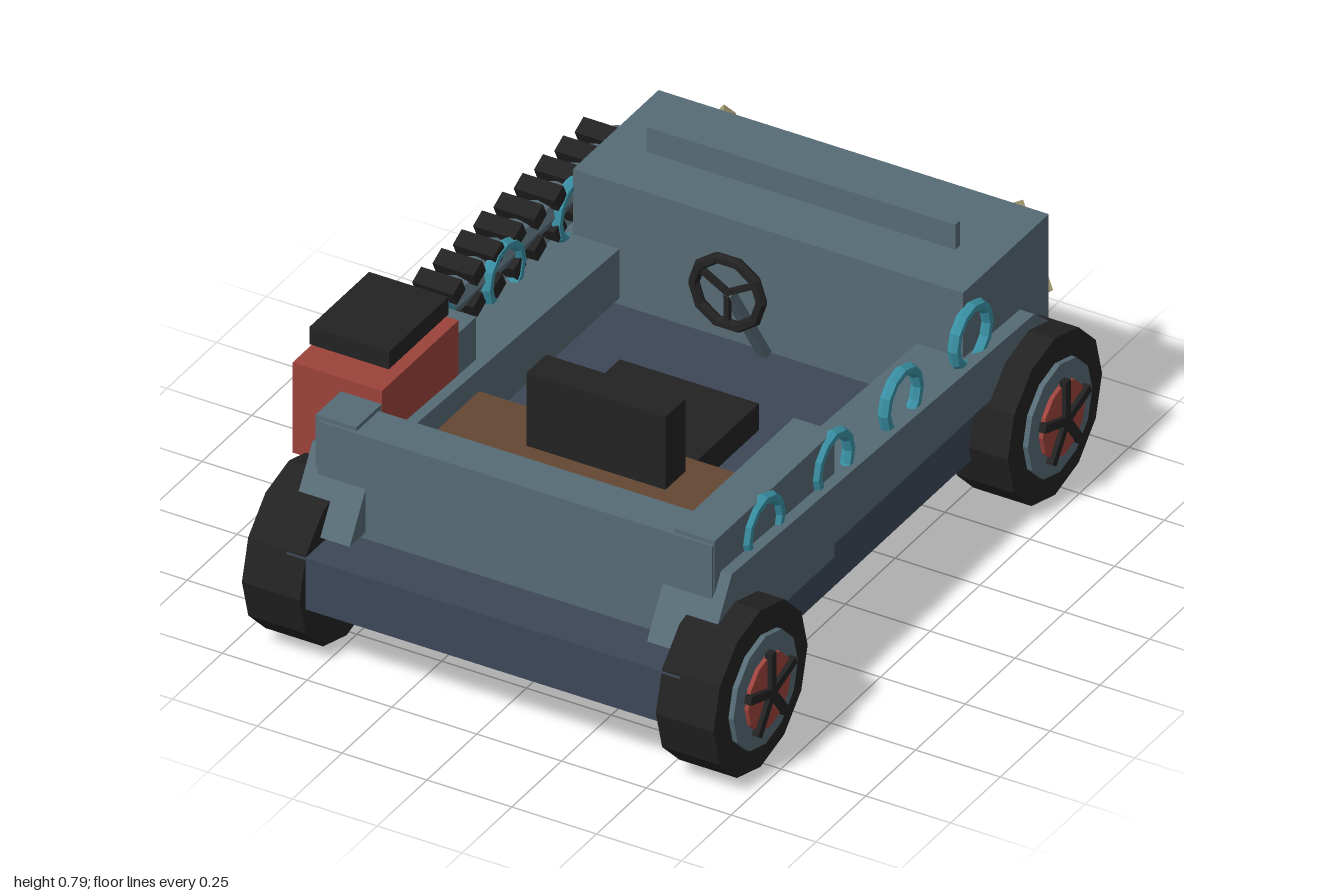
import * as THREE from 'three';

const paint = (name, color) => {
  const m = new THREE.MeshStandardMaterial({ color, flatShading: true });
  m.name = name;
  return m;
};

export function createModel() {
  const slate = paint('slate', 0x566b75);
  const navy = paint('navy', 0x3c4757);
  const black = paint('black', 0x222222);
  const red = paint('red', 0x9c423b);
  const brown = paint('brown', 0x634732);
  const teal = paint('teal', 0x3a92a6);
  const beige = paint('beige', 0xa0966f);

  const model = new THREE.Group();
  const add = (name, geo, mat, parent = model) => {
    const mesh = new THREE.Mesh(geo, mat);
    mesh.name = name;
    parent.add(mesh);
    return mesh;
  };
  // box from its two opposite corners
  const block = (name, mat, x0, x1, y0, y1, z0, z1, parent = model) => {
    const mesh = add(name, new THREE.BoxGeometry(x1 - x0, y1 - y0, z1 - z0), mat, parent);
    mesh.position.set((x0 + x1) / 2, (y0 + y1) / 2, (z0 + z1) / 2);
    return mesh;
  };
  // bar laid between two points
  const bar = (name, mat, a, b, w, d) => {
    const p = new THREE.Vector3(...a), q = new THREE.Vector3(...b);
    const mesh = add(name, new THREE.BoxGeometry(w, d, p.distanceTo(q)), mat);
    mesh.position.copy(p).lerp(q, 0.5);
    mesh.lookAt(q);
    return mesh;
  };
  // cylinder with its axis along x
  const disc = (name, mat, r, x0, x1, parent, sides = 12) => {
    const geo = new THREE.CylinderGeometry(r, r, x1 - x0, sides).rotateZ(-Math.PI / 2);
    const mesh = add(name, geo, mat, parent);
    mesh.position.x = (x0 + x1) / 2;
    return mesh;
  };

  // chassis and body panels
  block('chassis', navy, -0.575, 0.585, 0.195, 0.35, -0.885, 0.975);
  block('endPanel', slate, -0.575, 0.588, 0.35, 0.66, 0.7, 0.82);
  block('cowl', slate, -0.57, 0.58, 0.35, 0.715, -0.885, -0.455);
  block('screenStrip', slate, -0.45, 0.46, 0.71, 0.79, -0.645, -0.62);
  block('rearFloor', brown, -0.445, 0.45, 0.36, 0.48, 0.25, 0.705);

  for (const s of [-1, 1]) {
    // tapered side wall that doubles as the wheel fender
    const outline = new THREE.Shape([
      [0.9, 0.37], [0.78, 0.565], [-0.74, 0.507], [-0.87, 0.4], [-0.87, 0.37],
    ].map(([z, y]) => new THREE.Vector2(-z, y)));
    const wall = new THREE.ExtrudeGeometry(outline, { depth: 0.18, bevelEnabled: false });
    wall.translate(0, 0, -0.09).rotateY(Math.PI / 2);
    const p = wall.attributes.position;
    for (let i = 0; i < p.count; i++) p.setX(p.getX(i) * (1 - (p.getY(i) - 0.37) * 1.1));
    wall.translate(s * 0.528 + 0.005, 0, 0);
    add('sideWall', wall, slate);

    const mid = s * 0.528 + 0.003;
    block('sideLocker', slate, mid - 0.06, mid + 0.06, 0.29, 0.672, 0.21, 0.812);

    // hoops along the wall
    for (const z of [0.57, 0.22, -0.125, -0.475]) {
      const hoop = add('sideHoop', new THREE.TorusGeometry(0.083, 0.017, 6, 12), teal);
      hoop.rotation.y = Math.PI / 2;
      hoop.position.set(s * 0.586 + 0.004, 0.58, z);
    }

    // wheels
    for (const z of [0.767, -0.712]) {
      const wheel = new THREE.Group();
      wheel.name = 'wheel';
      wheel.position.set(0.005, 0.2375, z);
      wheel.rotation.y = s < 0 ? Math.PI : 0;
      model.add(wheel);
      disc('tyre', black, 0.2365, 0.525, 0.695, wheel);
      disc('rim', slate, 0.162, 0.69, 0.71, wheel);
      disc('hub', red, 0.107, 0.705, 0.722, wheel);
      for (let i = 0; i < 5; i++) {
        const spoke = new THREE.Group();
        spoke.name = 'spoke';
        spoke.rotation.x = i * Math.PI * 0.4;
        wheel.add(spoke);
        block('spokeBar', black, 0.715, 0.735, 0, 0.12, -0.012, 0.012, spoke);
      }
    }

    // angled lamp arms on the cowl
    bar('lampMount', beige, [s * 0.32, 0.58, -0.9], [s * 0.55, 0.54, -0.9], 0.03, 0.06);
    bar('lampArm', beige, [s * 0.55, 0.455, -0.9], [s * 0.415, 0.64, -0.98], 0.05, 0.04);
  }

  // grille
  block('grille', black, -0.27, 0.28, 0.38, 0.535, -0.915, -0.88);
  for (let i = -2; i <= 2; i++) {
    const x = i * 0.097 + 0.005;
    block('grilleBar', black, x - 0.012, x + 0.012, 0.39, 0.525, -0.932, -0.91);
  }

  // seat
  block('seatCushion', black, -0.2, 0.21, 0.4, 0.48, -0.06, 0.36);
  block('seatBack', black, -0.2, 0.21, 0.42, 0.7, 0.31, 0.41);
  block('seatPad', navy, -0.15, 0.16, 0.49, 0.665, 0.29, 0.312);

  // steering
  const steering = add('steeringWheel', new THREE.TorusGeometry(0.1, 0.016, 6, 10), black);
  steering.position.set(0.005, 0.643, -0.252);
  steering.rotation.z = Math.PI / 10 * 2;
  for (let i = 0; i < 3; i++) {
    const a = Math.PI / 2 + i * Math.PI * 2 / 3;
    bar('steeringSpoke', black, [0.005, 0.643, -0.252],
      [0.005 + 0.1 * Math.cos(a), 0.643 - 0.1 * Math.sin(a), -0.252], 0.015, 0.015);
  }
  bar('steeringColumn', slate, [0.005, 0.643, -0.255], [0.005, 0.35, -0.44], 0.026, 0.026);

  // side engine with filter and louvres
  block('engine', red, -0.728, -0.464, 0.44, 0.712, 0.3, 0.685);
  block('filterStem', black, -0.64, -0.57, 0.71, 0.735, 0.44, 0.5);
  block('filter', black, -0.722, -0.488, 0.728, 0.78, 0.31, 0.61);
  for (const y of [0.5, 0.567, 0.634]) {
    block('louvre', black, -0.745, -0.725, y - 0.011, y + 0.011, 0.385, 0.595);
  }

  // twin pipes with tilted clamps
  for (const [x, y, r] of [[-0.625, 0.605, 0.045], [-0.64, 0.51, 0.042]]) {
    const pipe = add('exhaustPipe', new THREE.CylinderGeometry(r, r, 1.09, 8).rotateX(Math.PI / 2), slate);
    pipe.position.set(x, y, -0.235);
    for (let i = 0; i < 10; i++) {
      const clamp = add('pipeClamp', new THREE.BoxGeometry(0.12, 0.045, 0.05), black);
      clamp.position.set(-0.63, y + 0.055, -0.7 + i * 0.102);
      clamp.rotation.x = 0.45;
    }
  }
  return model;
}
